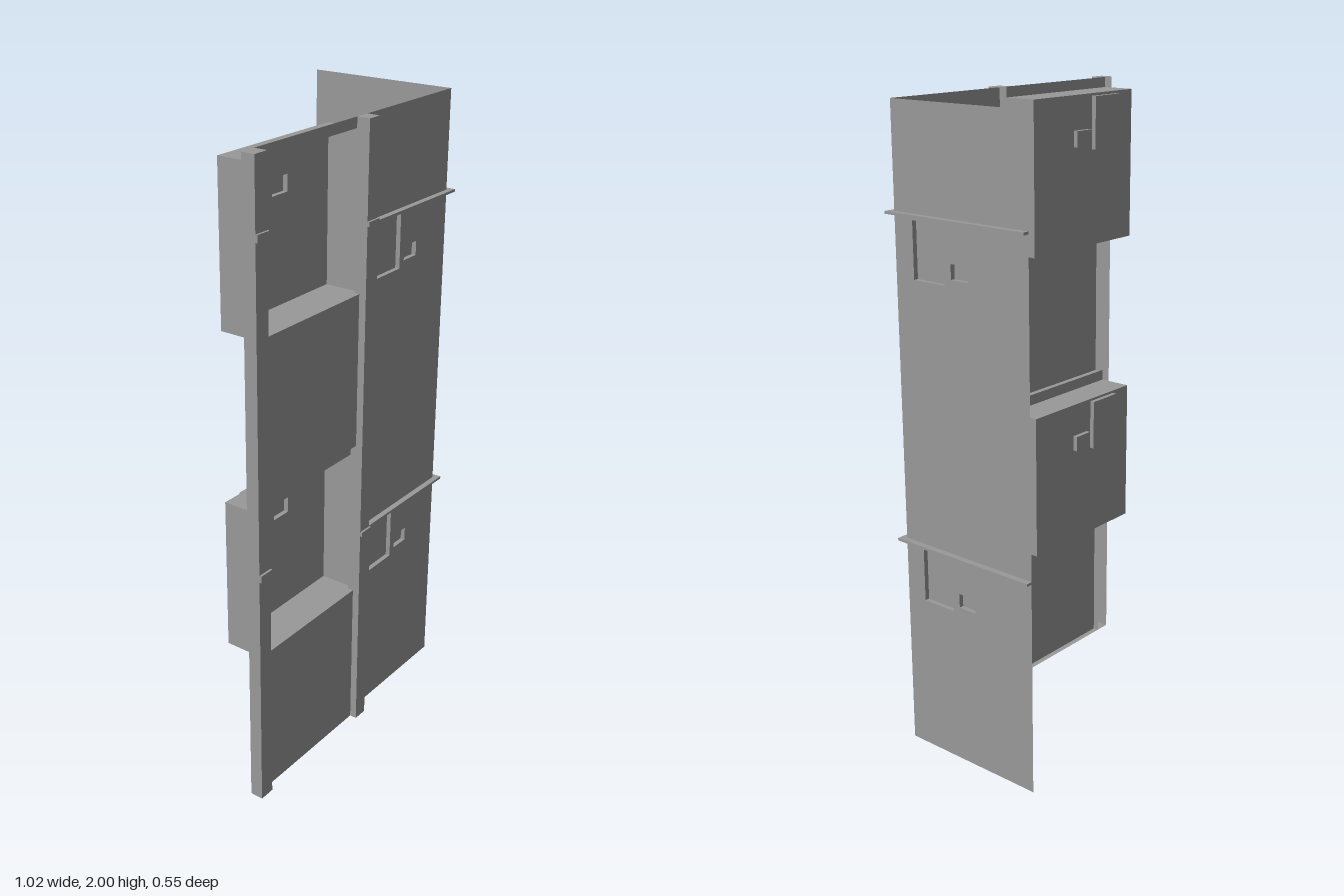
import * as THREE from 'three';

const material = new THREE.MeshStandardMaterial({ color: 0x999999, flatShading: true, side: THREE.DoubleSide });
const FACES = ['right', 'left', 'top', 'bottom', 'front', 'back'];
const WALL_Z = 0.225, SIDE_X = 0.49, INSET = 0.015;
const LEDGE_Z = 0.244, LEDGE = [0.681, 0.689];

function add(parent, name, geometry) {
  const mesh = new THREE.Mesh(geometry, material);
  mesh.name = name;
  parent.add(mesh);
}

// Box between two limits on each axis, leaving out the listed faces
function box(parent, name, [x0, x1], [y0, y1], [z0, z1], open = []) {
  const g = new THREE.BoxGeometry(x1 - x0, y1 - y0, z1 - z0);
  g.translate((x0 + x1) / 2, (y0 + y1) / 2, (z0 + z1) / 2);
  const index = Array.from(g.index.array);
  g.setIndex(index.filter((_, i) => !open.includes(FACES[Math.floor(i / 6)])));
  g.clearGroups();
  add(parent, name, g);
}

function rectangle(target, [x0, x1], [y0, y1]) {
  target.moveTo(x0, y0);
  target.lineTo(x1, y0);
  target.lineTo(x1, y1);
  target.lineTo(x0, y1);
  target.closePath();
  return target;
}

// Thin wall with windows sunk into it; each window is { x, y }
function windowWall(parent, name, xs, ys, z, windows = []) {
  const shape = rectangle(new THREE.Shape(), xs, ys);
  for (const w of windows) {
    shape.holes.push(rectangle(new THREE.Path(), w.x, w.y));
    box(parent, 'windowInset', w.x, w.y, [z - INSET, z], ['front']);
  }
  const g = new THREE.ShapeGeometry(shape);
  g.translate(0, 0, z);
  add(parent, name, g);
}

// Wall split by the two hollow ledges, with a large and a small window per storey
function ledgeWall(parent, name, xs, z, large, small) {
  for (const s of [0, 1]) {
    windowWall(parent, name, xs, [s ? LEDGE[1] : 0, s + LEDGE[0]], z, [
      { x: large, y: [s + 0.5, s + 0.67] },
      { x: small, y: [s + 0.52, s + 0.565] },
    ]);
  }
  windowWall(parent, name, xs, [1 + LEDGE[1], 2], z);
}

export function createModel() {
  const model = new THREE.Group();
  model.name = 'facadeSection';

  // Plain front wall and the side wall at right angles to it
  ledgeWall(model, 'frontWall', [0.04, SIDE_X], WALL_Z, [0.115, 0.235], [0.258, 0.325]);
  const side = new THREE.Group();
  side.name = 'sideWallGroup';
  side.rotation.y = Math.PI / 2;
  side.position.x = SIDE_X;
  ledgeWall(side, 'sideWall', [-WALL_Z, 0.275], 0, [-0.155, -0.035], [-0.01, 0.055]);
  model.add(side);

  // Pillars, hollow at the back
  const pillars = [
    { name: 'outerPillar', x: [-0.51, -0.459], band: [0.773, 0.795] },
    { name: 'middlePillar', x: [-0.005, 0.044], band: [0.695, 0.71] },
  ];
  for (const p of pillars) {
    box(model, p.name, p.x, [0, 2], [WALL_Z, 0.267], ['back']);
  }

  for (const s of [0, 1]) {
    const storey = new THREE.Group();
    storey.name = s ? 'upperStorey' : 'lowerStorey';
    model.add(storey);

    // Parapet panel with its sill
    box(storey, 'parapetPanel', [-0.46, 0], [s ? 1.003 : 0, s + 0.49], [WALL_Z, LEDGE_Z], ['back']);

    // Deep balcony recess, open to the front, under a flat lintel
    const xs = [-0.475, 0.01], ys = [s + 0.49, s + 0.968], back = 0.117;
    box(storey, 'recessShell', xs, ys, [back, WALL_Z], ['front', 'back']);
    windowWall(storey, 'recessBackWall', xs, ys, back, [
      { x: [-0.393, -0.27], y: [s + 0.795, s + 0.96] },
      { x: [-0.25, -0.18], y: [s + 0.81, s + 0.86] },
    ]);
    windowWall(storey, 'lintel', xs, [s + 0.968, s ? 2 : 1.003], WALL_Z);

    // Hollow ledges running around the corner
    const ledgeY = LEDGE.map((y) => y + s);
    box(storey, 'frontLedge', [0.043, 0.51], ledgeY, [WALL_Z, LEDGE_Z], ['back']);
    box(storey, 'sideLedge', [SIDE_X, 0.51], ledgeY, [-0.275, WALL_Z], ['left', 'front']);

    // Raised bands on the pillar fronts
    for (const p of pillars) {
      box(storey, 'pillarBand', p.x, p.band.map((y) => y + s), [0.267, 0.274]);
    }
  }
  return model;
}
